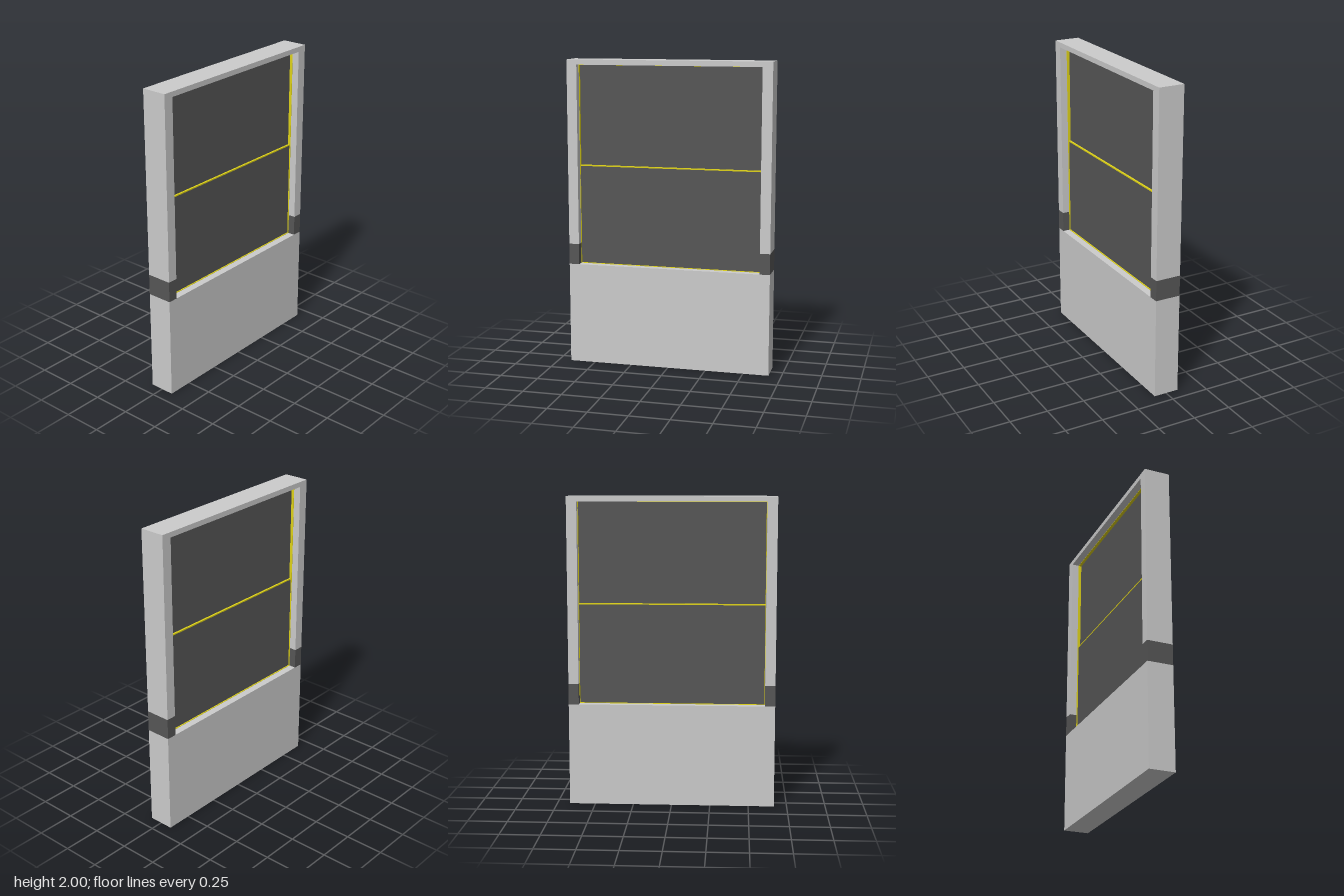
import * as THREE from 'three';

const grey = new THREE.MeshStandardMaterial({ color: 0xcccccc });
const dark = new THREE.MeshStandardMaterial({ color: 0x565656 });
const yellow = new THREE.MeshStandardMaterial({ color: 0xe0d418 });

// Main dimensions
const DEPTH = 0.167, HALF = 0.667, OPEN = 0.601;
const SILL = 0.663, BAND = 0.798, HEAD = 1.967, TOP = 2;
const MID = 1.313, LINER = 0.072, T = 0.003;

export function createModel() {
  const model = new THREE.Group();
  model.name = 'windowWall';

  // Box centred on x, spanning y0..y1 and z0..z1
  function slab(name, material, thick, y0, y1, z0, z1) {
    const geometry = new THREE.BoxGeometry(thick, y1 - y0, z1 - z0);
    const mesh = new THREE.Mesh(geometry, material);
    mesh.name = name;
    mesh.position.set(0, (y0 + y1) / 2, (z0 + z1) / 2);
    model.add(mesh);
  }

  // Wall below the opening and lintel above it
  slab('lowerWall', grey, DEPTH, 0, SILL, -HALF, HALF);
  slab('lintel', grey, DEPTH, HEAD, TOP, -HALF, HALF);

  // Side posts with a dark band at sill height, and the thin jamb liners
  for (const s of [-1, 1]) {
    const side = s > 0 ? 'front' : 'back';
    const span = (a, b) => (s > 0 ? [a, b] : [-b, -a]);
    slab(side + 'Post', grey, DEPTH, BAND, HEAD, ...span(OPEN, HALF));
    slab(side + 'PostBand', dark, DEPTH, SILL, BAND, ...span(OPEN, HALF));
    slab(side + 'JambLiner', yellow, LINER, SILL, HEAD, ...span(OPEN - T, OPEN));
  }

  // Sill and head liners, and the bar between the panes
  slab('sillLiner', yellow, LINER, SILL, SILL + T, -OPEN + T, OPEN - T);
  slab('headLiner', yellow, LINER, HEAD - T, HEAD, -OPEN + T, OPEN - T);
  slab('middleBar', yellow, 0.058, MID - 0.004, MID + 0.004, -OPEN + T, OPEN - T);

  // Panes: the lower one is thicker than the upper one
  slab('lowerPane', dark, 0.056, SILL + T, MID - 0.004, -OPEN + T, OPEN - T);
  slab('upperPane', dark, 0.034, MID + 0.004, HEAD - T, -OPEN + T, OPEN - T);

  return model;
}
